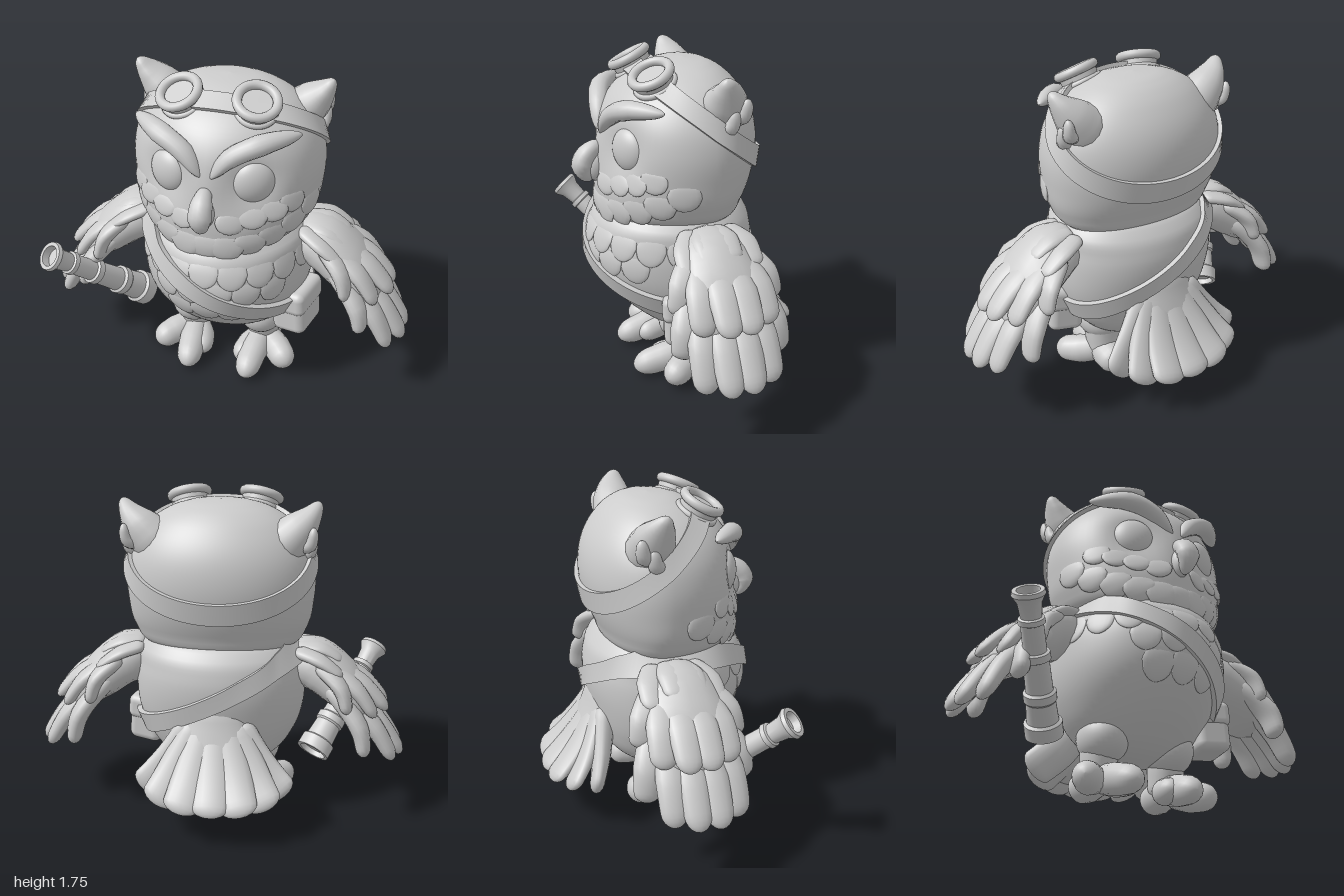
import * as THREE from 'three';
import { toCreasedNormals } from 'three/addons/utils/BufferGeometryUtils.js';
import { RoundedBoxGeometry } from 'three/addons/geometries/RoundedBoxGeometry.js';

const V = (x, y, z) => new THREE.Vector3(x, y, z);
const grey = new THREE.MeshStandardMaterial({ color: 0xcccccc });
grey.name = 'light grey';

// Skin a list of point rings; closed joins the last ring to the first
function loft(rings, closed = false) {
  const n = rings[0].length, m = rings.length, pos = [], idx = [];
  rings.forEach(r => r.forEach(p => pos.push(p.x, p.y, p.z)));
  for (let i = 0; i < (closed ? m : m - 1); i++) for (let j = 0; j < n; j++) {
    const k = ((i + 1) % m) * n, a = i * n + j, b = i * n + (j + 1) % n, c = k + j, d = k + (j + 1) % n;
    idx.push(a, b, c, b, d, c);
  }
  const g = new THREE.BufferGeometry();
  g.setAttribute('position', new THREE.Float32BufferAttribute(pos, 3));
  g.setIndex(idx);
  g.computeVertexNormals();
  return g;
}

// Round-ended elliptical sweep: widths run along side, thicks across it
function sweep(points, widths, thicks, side, round = 0.2) {
  const curve = new THREE.CatmullRomCurve3(points), rings = [], N = 18;
  const mix = (a, t) => {
    const f = t * (a.length - 1), i = Math.min(Math.floor(f), a.length - 2);
    return a[i] + (a[i + 1] - a[i]) * (f - i);
  };
  for (let i = 0; i <= N; i++) {
    const t = 0.5 - 0.5 * Math.cos(Math.PI * i / N), e = Math.min(t, 1 - t);
    const cap = e < round ? Math.sqrt(Math.max(1e-6, 1 - (1 - e / round) ** 2)) : 1;
    const c = curve.getPoint(t), tan = curve.getTangent(t);
    const s = side.clone().addScaledVector(tan, -side.dot(tan)).normalize(), n = tan.clone().cross(s);
    rings.push(Array.from({ length: 16 }, (_, j) => {
      const q = j / 16 * Math.PI * 2;
      return c.clone().addScaledVector(s, Math.cos(q) * mix(widths, t) * cap)
        .addScaledVector(n, Math.sin(q) * mix(thicks, t) * cap);
    }));
  }
  return loft(rings);
}

// Egg-shaped surface from rows of [y, half width, front z, back z]
function blob(rows, bend = () => 0) {
  const f = new THREE.CubicInterpolant(rows.map(r => r[0]), rows.flatMap(r => r.slice(1)), 3, new Float32Array(3));
  const y0 = rows[0][0], y1 = rows.at(-1)[0];
  const raw = (y, a) => {
    const [w, zf, zb] = f.evaluate(THREE.MathUtils.clamp(y, y0, y1)), c = Math.cos(a);
    const p = V(Math.max(0, w) * Math.sin(a), y, c > 0 ? c * Math.max(0, zf) : -c * Math.min(0, zb));
    p.z += bend(p, c);
    return p;
  };
  const across = (y, a) => raw(y, a + 0.01).sub(raw(y, a - 0.01)).normalize();
  const at = (y, a, off = 0) => {
    const n = across(y, a).cross(raw(y + 0.004, a).sub(raw(y - 0.004, a))).normalize();
    return raw(y, a).addScaledVector(n, off);
  };
  const geometry = () => loft(Array.from({ length: 49 }, (_, i) => {
    const y = y0 + (y1 - y0) * (0.5 - 0.5 * Math.cos(Math.PI * i / 48));
    return Array.from({ length: 72 }, (_, j) => raw(y, j / 72 * Math.PI * 2));
  }));
  // Strap lying on the surface along a slanted plane y = plane(p)
  const strap = (plane, half, lift) => toCreasedNormals(loft(Array.from({ length: 96 }, (_, i) => {
    const a = i / 96 * Math.PI * 2, h = half(a);
    let lo = y0 + 0.06, hi = y1 - 0.015;
    for (let k = 0; k < 30; k++) {
      const y = (lo + hi) / 2;
      if (y > plane(raw(y, a))) hi = y; else lo = y;
    }
    return [at(lo - h, a, -0.02), at(lo + h, a, -0.02), at(lo + h, a, lift), at(lo - h, a, lift)];
  }), true), 0.7);
  // Small feather lying on the surface, pointing down, lifted at its tip
  const lobe = (y, a, len, w, th) => sweep(
    [at(y, a, -th * 1.2), at(y - len * 0.5, a, -th * 0.3), at(y - len, a, th * 0.3)],
    [w * 0.8, w, w * 0.7], [th, th, th], across(y, a), 0.3);
  return { geometry, strap, lobe };
}

export function createModel() {
  const root = new THREE.Group();
  const add = (name, g, parent = root) => {
    const m = new THREE.Mesh(g, grey);
    m.name = name;
    parent.add(m);
    return m;
  };
  const ball = (name, p, r) => {
    const m = add(name, new THREE.SphereGeometry(1, 32, 20));
    m.position.set(...p);
    m.scale.set(...r);
    return m;
  };

  // Body with chest feathers
  const body = blob([[0.23, 0, 0, 0], [0.25, 0.13, 0.1, -0.1], [0.28, 0.22, 0.17, -0.16], [0.36, 0.325, 0.28, -0.24],
    [0.48, 0.405, 0.4, -0.29], [0.6, 0.445, 0.485, -0.32], [0.75, 0.455, 0.525, -0.345], [0.85, 0.445, 0.51, -0.34],
    [0.95, 0.42, 0.46, -0.3], [1.02, 0.3, 0.34, -0.2], [1.06, 0, 0, 0]]);
  add('body', body.geometry());
  [[0.95, 4], [0.84, 2], [0.7, 1]].forEach(([y, n], r) => {
    for (let i = -n; i <= n; i++) add('chestFeather', body.lobe(y - Math.abs(i) * 0.006, (i + (r % 2) / 2) * 0.32, 0.17, 0.08, 0.012));
  });

  // Head with sunken eye sockets
  const head = blob([[0.885, 0, 0, 0], [0.91, 0.24, 0.39, -0.12], [0.96, 0.385, 0.455, -0.23], [1.05, 0.455, 0.47, -0.28],
    [1.2, 0.487, 0.47, -0.335], [1.35, 0.49, 0.46, -0.35], [1.48, 0.455, 0.42, -0.325], [1.58, 0.385, 0.345, -0.27],
    [1.65, 0.295, 0.25, -0.205], [1.69, 0.2, 0.16, -0.14], [1.708, 0.11, 0.085, -0.08], [1.715, 0, 0, 0]],
  (p, c) => c > 0 ? -0.06 * Math.exp(-(((Math.abs(p.x) - 0.21) / 0.12) ** 2 + ((p.y - 1.33) / 0.13) ** 2)) : 0);
  add('head', head.geometry());

  // Face ruff and cheek feathers
  for (let i = -5; i <= 5; i++) {
    const k = Math.abs(i);
    add('chinFeather', head.lobe(1.07 + k * k * 0.006, i * 0.25, 0.15, 0.085, 0.015));
  }
  for (const s of [-1, 1]) for (let i = 0; i < 4; i++)
    add('cheekFeather', head.lobe(1.2 + i * 0.025, s * (0.26 + i * 0.22), 0.12, 0.075, 0.013));

  // Beak: hooked bridge over a filled lower bill
  add('beak', sweep([V(0, 1.31, 0.43), V(0, 1.26, 0.51), V(0, 1.2, 0.54), V(0, 1.11, 0.5)],
    [0.03, 0.055, 0.06, 0.025], [0.035, 0.05, 0.055, 0.03], V(1, 0, 0), 0.15));
  ball('lowerBill', [0, 1.19, 0.465], [0.05, 0.08, 0.06]);

  // Tail: smooth root spreading into a fan
  add('tailRoot', sweep([V(0, 0.74, -0.24), V(0, 0.5, -0.3), V(0, 0.35, -0.39), V(0, 0.25, -0.5)],
    [0.14, 0.2, 0.28, 0.29], [0.07, 0.085, 0.065, 0.04], V(1, 0, 0), 0.15));
  for (const [x, y, z] of [[0.375, 0.24, -0.38], [0.29, 0.22, -0.5], [0.16, 0.215, -0.575], [0, 0.21, -0.59],
    [-0.16, 0.215, -0.575], [-0.29, 0.22, -0.5], [-0.375, 0.24, -0.38]])
    add('tailFeather', sweep([V(x * 0.25, 0.6, -0.26), V(x * 0.65, 0.37, -0.25 + (z + 0.25) * 0.52), V(x, y, z)],
      [0.09, 0.1, 0.095], [0.06, 0.05, 0.035], V(1, 0, -x * 0.8), 0.12));

  for (const s of [-1, 1]) {
    const P = (x, y, z) => V(s * x, y, z);

    // Eye, brow and ear tuft
    ball('eye', [s * 0.21, 1.33, 0.345], [0.108, 0.112, 0.065]).rotation.y = s * 0.45;
    add('brow', sweep([P(0.02, 1.37, 0.44), P(0.11, 1.475, 0.415), P(0.24, 1.54, 0.37), P(0.41, 1.555, 0.23)],
      [0.018, 0.045, 0.05, 0.03], [0.03, 0.05, 0.055, 0.035], V(0, 1, 0.2)));
    add('earTuft', sweep([P(0.3, 1.48, -0.08), P(0.405, 1.59, -0.075), P(0.46, 1.655, -0.06), P(0.5, 1.715, -0.04)],
      [0.13, 0.105, 0.07, 0.022], [0.13, 0.095, 0.055, 0.02], V(0, 0, 1), 0.1));
    for (const [y, z] of [[1.56, -0.14], [1.51, -0.08]])
      add('earFeather', sweep([P(0.38, y - 0.06, z + 0.07), P(0.455, y - 0.04, z), P(0.475, y + 0.05, z - 0.02)],
        [0.035, 0.04, 0.025], [0.035, 0.035, 0.02], V(0, 0, 1)));

    // Goggle cup, rim and lens, tipped back onto the brow
    const cup = new THREE.Group();
    cup.name = 'goggle';
    cup.position.set(s * 0.19, 1.685, 0.225);
    cup.quaternion.setFromUnitVectors(V(0, 1, 0), V(s * 0.2, 0.88, 0.42).normalize());
    add('goggleCup', new THREE.CylinderGeometry(0.1, 0.09, 0.13, 40), cup).position.y = -0.065;
    add('goggleRim', new THREE.TorusGeometry(0.096, 0.024, 12, 40).rotateX(Math.PI / 2), cup).position.y = 0.008;
    add('goggleCollar', new THREE.TorusGeometry(0.097, 0.016, 10, 40).rotateX(Math.PI / 2), cup).position.y = -0.055;
    root.add(cup);

    // Wing: shoulder, flight feathers, then two shorter covering rows
    add('shoulder', sweep([P(0.34, 0.86, 0.02), P(0.5, 0.84, 0.02), P(0.64, 0.74, 0.02), P(0.84, 0.55, 0.02)],
      [0.12, 0.18, 0.22, 0.2], [0.11, 0.14, 0.125, 0.075], V(0, 0, 1)));
    const feather = (name, a, b, c, w, th) => add(name, sweep([P(...a), P(...b), P(...c)], [w * 0.8, w, w * 0.8],
      [th, th, th * 0.75], V(0, 0, 1), 0.16));
    for (const [x, y, z] of [[0.99, 0.345, -0.02], [0.985, 0.34, 0.09], [0.92, 0.345, 0.195], [0.77, 0.46, 0.26],
      [0.94, 0.355, -0.125], [0.78, 0.41, -0.22]])
      feather('flightFeather', [0.56, 0.79, z * 0.5], [x * 0.5 + 0.35, y * 0.5 + 0.37, z * 0.9], [x, y, z], 0.08, 0.05);
    for (const [x, y, z] of [[0.9, 0.61, 0.07], [0.83, 0.6, 0.18], [0.68, 0.64, 0.25], [0.9, 0.61, -0.04],
      [0.83, 0.61, -0.15], [0.68, 0.65, -0.22]])
      feather('coverFeather', [0.52, 0.88, z * 0.5], [x * 0.5 + 0.3, y * 0.5 + 0.455, z * 0.85], [x, y, z], 0.08, 0.042);
    for (const z of [-0.13, -0.03, 0.07, 0.16])
      feather('shoulderFeather', [0.4, 0.94, z * 0.6], [0.53, 0.94 - z * z * 2, z], [0.65, 0.875 - z * z * 3, z * 1.1], 0.07, 0.032);

    // Leg, toes and heel
    ball('thigh', [s * 0.195, 0.33, 0.05], [0.13, 0.13, 0.15]);
    add('shin', sweep([P(0.2, 0.34, 0.03), P(0.2, 0.22, 0.02), P(0.2, 0.08, 0.0)], [0.1, 0.095, 0.08], [0.12, 0.1, 0.08], V(1, 0, 0)));
    const toe = (name, a, b, c, w) => add(name, sweep([P(...a), P(...b), P(...c)], [w * 0.8, w, w * 0.85],
      [w * 0.9, w * 1.05, w * 0.85], V(1, 0, 0), 0.25));
    toe('middleToe', [0.2, 0.14, -0.02], [0.18, 0.1, 0.16], [0.165, 0.06, 0.34], 0.078);
    toe('outerToe', [0.2, 0.13, 0], [0.3, 0.1, 0.1], [0.385, 0.085, 0.21], 0.078);
    toe('innerToe', [0.2, 0.13, 0], [0.14, 0.1, 0.1], [0.105, 0.085, 0.23], 0.066);
    toe('heelToe', [0.2, 0.13, 0.06], [0.21, 0.12, -0.05], [0.22, 0.11, -0.17], 0.085);
  }

  // Goggle strap and shoulder strap
  add('goggleStrap', head.strap(p => 1.473 + 0.78 * p.z, a => 0.055 - 0.032 * Math.max(0, Math.cos(a)), 0.022));
  add('shoulderStrap', body.strap(p => 0.735 - 0.54 * p.x, () => 0.052, 0.027));

  // Hip pouch with flap
  const pouch = new THREE.Group();
  pouch.name = 'pouch';
  pouch.position.set(0.4, 0.46, 0.11);
  pouch.rotation.set(0, -0.25, 0.08);
  add('pouchBag', new RoundedBoxGeometry(0.19, 0.26, 0.25, 4, 0.045), pouch);
  add('pouchFlap', new RoundedBoxGeometry(0.205, 0.14, 0.27, 4, 0.04), pouch).position.y = 0.07;
  root.add(pouch);

  // Spyglass, turned from eyepiece to front end
  const from = V(-0.85, 0.78, 0.48), to = V(-0.51, 0.3, 0.03), L = from.distanceTo(to);
  const profile = [[0, 0.04], [0.05, 0.04], [0.055, 0], [0.075, 0], [0.08, 0.02], [0.058, 0.06], [0.05, 0.13], [0.062, 0.135],
    [0.064, 0.16], [0.054, 0.165], [0.056, 0.3], [0.07, 0.305], [0.072, 0.34], [0.062, 0.345], [0.066, 0.5], [0.08, 0.51],
    [0.08, 0.55], [0.072, 0.56], [0.078, L - 0.08], [0.094, L - 0.07], [0.094, L], [0.075, L], [0.073, L - 0.03], [0, L - 0.03]];
  const glass = add('spyglass', toCreasedNormals(new THREE.LatheGeometry(profile.map(p => new THREE.Vector2(...p)), 32), 0.6));
  glass.position.copy(from);
  glass.quaternion.setFromUnitVectors(V(0, 1, 0), to.clone().sub(from).normalize());

  return root;
}
